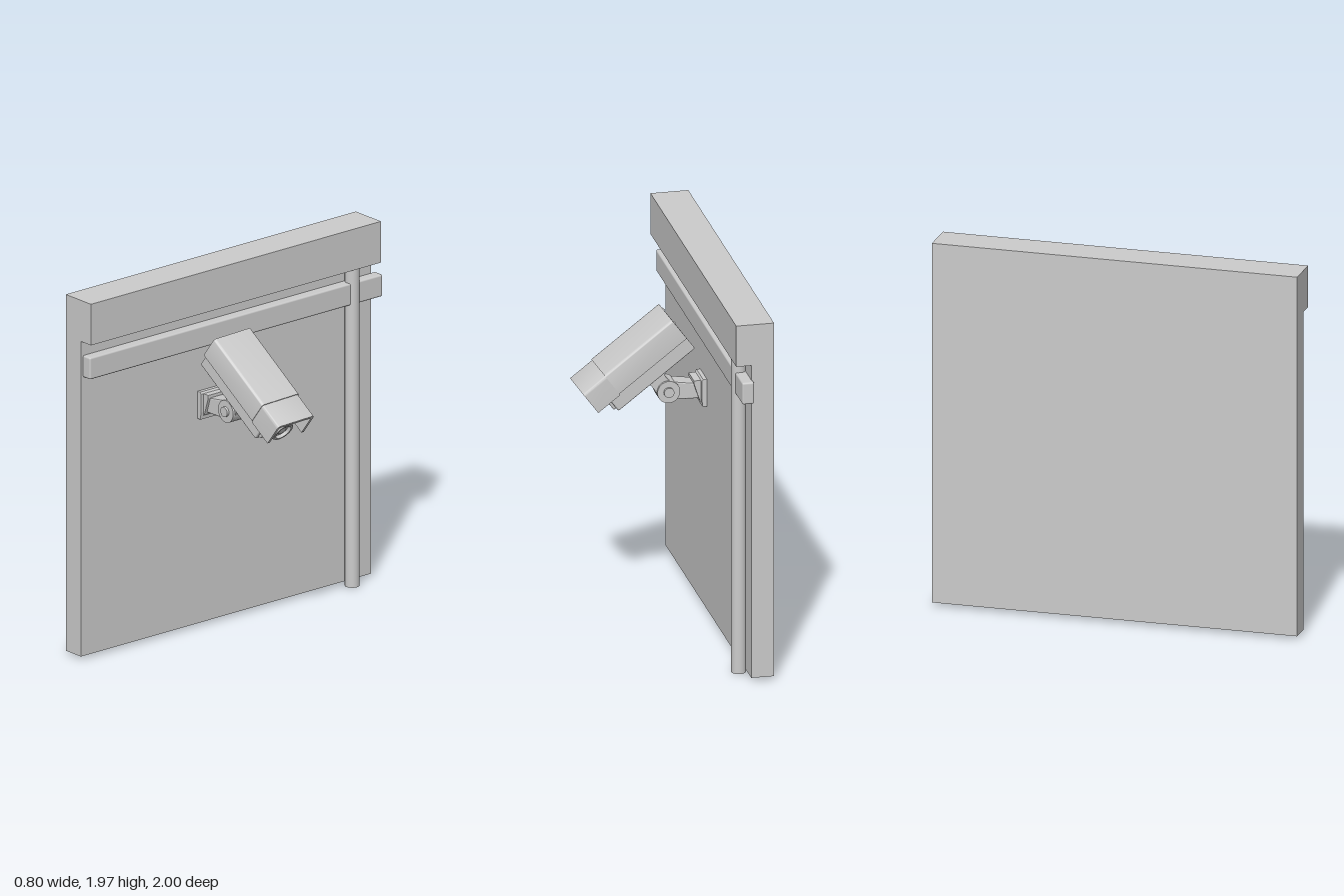
import * as THREE from 'three';
import { RoundedBoxGeometry } from 'three/addons/geometries/RoundedBoxGeometry.js';
import { toCreasedNormals } from 'three/addons/utils/BufferGeometryUtils.js';

const material = new THREE.MeshStandardMaterial({ color: 0xcccccc });

function add(parent, name, geometry, x = 0, y = 0, z = 0) {
  const mesh = new THREE.Mesh(geometry, material);
  mesh.name = name;
  mesh.position.set(x, y, z);
  parent.add(mesh);
  return mesh;
}

// Box given by its limits on each axis
function box(parent, name, [x0, x1], [y0, y1], [z0, z1], radius = 0) {
  const size = [x1 - x0, y1 - y0, z1 - z0];
  const geometry = radius ? new RoundedBoxGeometry(...size, 2, radius) : new THREE.BoxGeometry(...size);
  return add(parent, name, geometry, (x0 + x1) / 2, (y0 + y1) / 2, (z0 + z1) / 2);
}

// Side outline in x, y extruded evenly about z = 0
function slab(points, width, bevel = 0) {
  const shape = new THREE.Shape(points.map(p => new THREE.Vector2(...p)));
  const geometry = new THREE.ExtrudeGeometry(shape, {
    depth: width - 2 * bevel, bevelEnabled: bevel > 0, bevelSize: bevel,
    bevelThickness: bevel, bevelOffset: -bevel, bevelSegments: 2,
  });
  return geometry.translate(0, 0, bevel - width / 2);
}

// Roof section with rounded upper edges, optionally hollow, extruded along x
function roof(x0, x1, halfWidth, top, bottom, wall = 0) {
  const s = new THREE.Shape(), r = 0.018;
  s.moveTo(-halfWidth, bottom);
  if (wall) {
    s.lineTo(-halfWidth + wall, bottom);
    s.lineTo(-halfWidth + wall, top - wall);
    s.lineTo(halfWidth - wall, top - wall);
    s.lineTo(halfWidth - wall, bottom);
  }
  s.lineTo(halfWidth, bottom);
  s.lineTo(halfWidth, top - r);
  s.quadraticCurveTo(halfWidth, top, halfWidth - r, top);
  s.lineTo(-halfWidth + r, top);
  s.quadraticCurveTo(-halfWidth, top, -halfWidth, top - r);
  s.closePath();
  const geometry = new THREE.ExtrudeGeometry(s, { depth: x1 - x0, bevelEnabled: false, curveSegments: 5 });
  return toCreasedNormals(geometry.rotateY(Math.PI / 2).translate(x0, 0, 0), 0.6);
}

function createCameraHead() {
  const head = new THREE.Group();
  head.name = 'cameraHead';
  // Local x runs along the barrel, local y = 0 is the roof
  add(head, 'cover', roof(0, 0.45, 0.132, 0, -0.132));
  add(head, 'sunHood', roof(0.45, 0.597, 0.129, -0.005, -0.142, 0.016));
  box(head, 'body', [0, 0.51], [-0.22, -0.02], [-0.107, 0.107], 0.008);
  box(head, 'frontBezel', [0.505, 0.525], [-0.205, -0.03], [-0.092, 0.092], 0.006);
  box(head, 'bottomPanel', [0.04, 0.47], [-0.225, -0.215], [-0.085, 0.085]);

  // Stepped lens turned around the barrel axis
  const profile = [[0, 0], [0.064, 0], [0.064, 0.045], [0.058, 0.052], [0.047, 0.052],
    [0.042, 0.035], [0.028, 0.035], [0.024, 0.042], [0, 0.047]];
  const lens = new THREE.LatheGeometry(profile.map(p => new THREE.Vector2(...p)), 32);
  add(head, 'lens', toCreasedNormals(lens.rotateZ(-Math.PI / 2), 0.5), 0.518, -0.132, 0);

  // Cover screws on the back
  for (const z of [-0.1, 0.1]) {
    const screw = new THREE.CylinderGeometry(0.008, 0.008, 0.006, 12).rotateZ(Math.PI / 2);
    add(head, 'coverScrew', screw, -0.002, -0.03, z);
  }
  head.position.set(-0.08, 1.645, 0.142);
  head.rotation.set(0, 0.054, -0.635, 'YZX');
  return head;
}

function createBracket() {
  const bracket = new THREE.Group();
  bracket.name = 'bracket';
  // Wall plate with a raised pad
  add(bracket, 'wallPlate', slab([[-0.282, 1.14], [-0.257, 1.14], [-0.252, 1.18], [-0.252, 1.28],
    [-0.26, 1.29], [-0.282, 1.29]], 0.16, 0.003));
  add(bracket, 'platePad', slab([[-0.255, 1.16], [-0.245, 1.17], [-0.215, 1.265], [-0.215, 1.28],
    [-0.255, 1.28]], 0.125));
  // Arm from the plate to the joint
  add(bracket, 'lowerArm', slab([[-0.25, 1.175], [-0.12, 1.178], [-0.08, 1.195], [-0.08, 1.265],
    [-0.12, 1.278], [-0.25, 1.258]], 0.095, 0.008));
  // Joint with bolt heads on both sides
  const disc = (r, w) => new THREE.CylinderGeometry(r, r, w, 32).rotateX(Math.PI / 2);
  add(bracket, 'joint', disc(0.06, 0.115), -0.083, 1.227, 0);
  add(bracket, 'jointBolt', disc(0.027, 0.14), -0.083, 1.227, 0);
  // Flared neck up to the underside of the camera
  const neck = new THREE.Shape();
  neck.moveTo(-0.1, 1.284);
  neck.quadraticCurveTo(-0.065, 1.295, -0.055, 1.35);
  neck.lineTo(0.035, 1.29);
  neck.quadraticCurveTo(-0.015, 1.25, -0.032, 1.195);
  neck.lineTo(-0.085, 1.215);
  neck.closePath();
  const neckGeometry = new THREE.ExtrudeGeometry(neck, { depth: 0.09, bevelEnabled: false, curveSegments: 8 });
  add(bracket, 'neck', toCreasedNormals(neckGeometry, 0.5), 0, 0, -0.045);
  bracket.position.z = 0.13;
  return bracket;
}

export function createModel() {
  const model = new THREE.Group();
  model.name = 'wallCamera';
  // Wall with an overhanging top beam, as one section
  const wall = slab([[-0.4, 0.02], [-0.28, 0.02], [-0.28, 1.745], [-0.2, 1.745], [-0.2, 1.97], [-0.4, 1.97]], 1.965);
  add(model, 'wall', wall, 0, 0, 0.0175);
  // Horizontal duct and vertical pipe
  box(model, 'duct', [-0.288, -0.225], [1.545, 1.665], [-1, 0.985], 0.01);
  add(model, 'pipe', new THREE.CylinderGeometry(0.038, 0.038, 1.747, 24), -0.248, 0.8735, -0.81);
  model.add(createBracket(), createCameraHead());
  return model;
}
